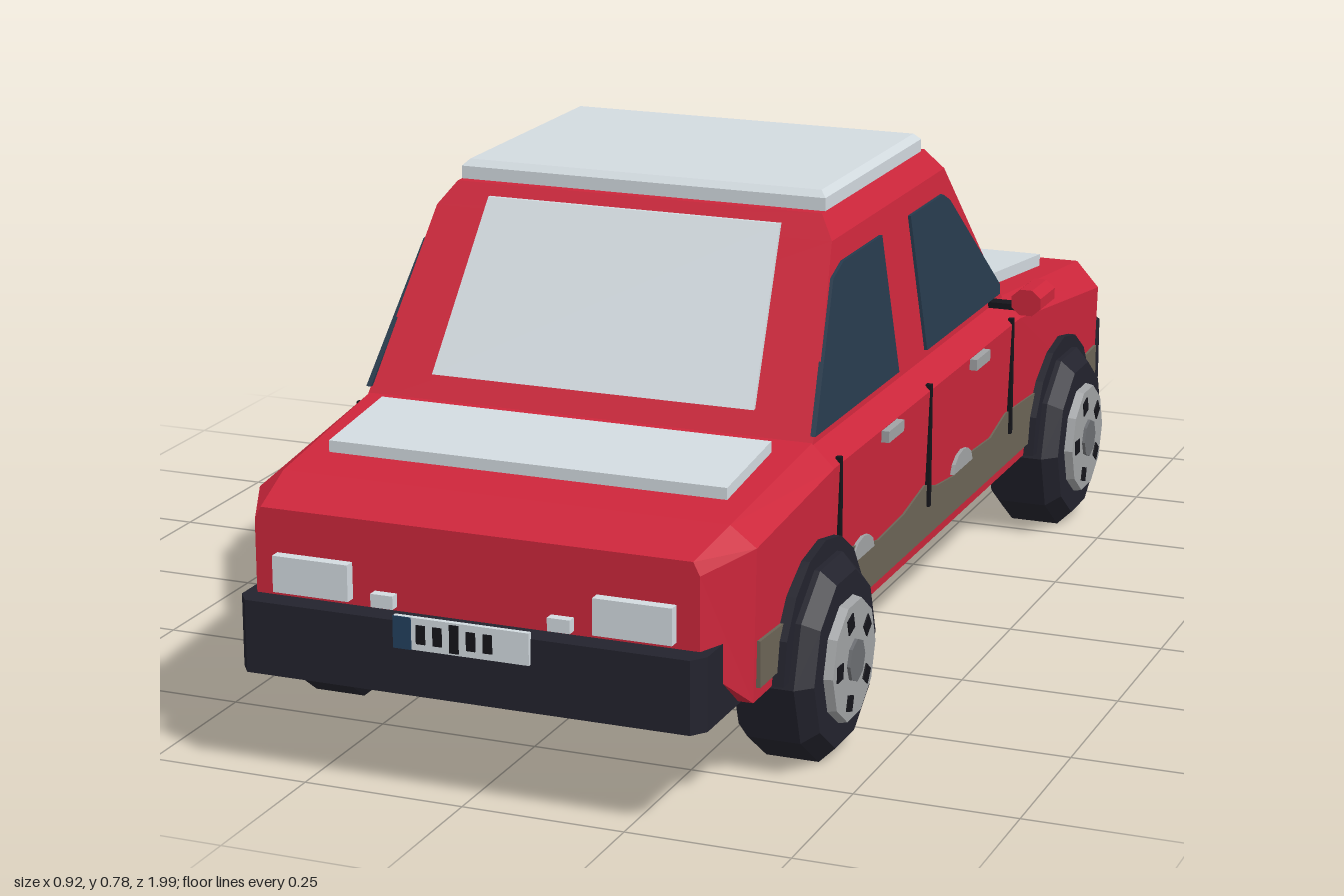
import * as THREE from 'three';

const paint = (color) => new THREE.MeshStandardMaterial({ color });
const M = {
  red: paint(0xcc263b), snow: paint(0xd2dadf), dark: paint(0x23232d), black: paint(0x15151b),
  glass: paint(0x263a4c), mud: paint(0x6b6456), grey: paint(0xa0a2a4), iron: paint(0x6c6e72), blue: paint(0x23405e),
};
for (const [key, name] of Object.entries({
  red: 'red paint', snow: 'snow white', dark: 'dark rubber', black: 'black trim', glass: 'dark glass',
  mud: 'dried mud', grey: 'light grey metal', iron: 'dark grey metal', blue: 'blue strip',
})) M[key].name = name;

// faceted normals for every part
function flat(geo) {
  const g = geo.index ? geo.toNonIndexed() : geo;
  g.computeVertexNormals();
  return g;
}

// moves every vertex by a rule
function bend(geo, rule) {
  const p = geo.attributes.position, v = new THREE.Vector3();
  for (let i = 0; i < p.count; i++) {
    v.fromBufferAttribute(p, i);
    rule(v);
    p.setXYZ(i, v.x, v.y, v.z);
  }
  return geo;
}

// mirrored copy across x = 0 with the corner order reversed
function mirrored(geo) {
  const g = flat(geo.clone()), p = g.attributes.position, a = p.array;
  for (let i = 0; i < a.length; i += 9) {
    for (let k = 0; k < 3; k++) [a[i + 3 + k], a[i + 6 + k]] = [a[i + 6 + k], a[i + 3 + k]];
    for (let k = 0; k < 9; k += 3) a[i + k] *= -1;
  }
  g.computeVertexNormals();
  return g;
}

// skin over closed cross-sections, capped at both ends
function loft(rings) {
  const n = rings[0].length, index = [], last = (rings.length - 1) * n;
  for (let r = 0; r < rings.length - 1; r++) {
    for (let j = 0; j < n; j++) {
      const a = r * n + j, b = r * n + (j + 1) % n, c = a + n, d = b + n;
      index.push(a, c, b, b, c, d);
    }
  }
  for (let j = 1; j < n - 1; j++) index.push(0, j, j + 1, last, last + j + 1, last + j);
  const g = new THREE.BufferGeometry();
  g.setAttribute('position', new THREE.Float32BufferAttribute(rings.flat(2), 3));
  g.setIndex(index);
  return g;
}

const extrude = (points, depth) => new THREE.ExtrudeGeometry(
  new THREE.Shape(points.map(([x, y]) => new THREE.Vector2(x, y))), { depth, bevelEnabled: false });
const box = (w, h, d, x, y, z) => new THREE.BoxGeometry(w, h, d).translate(x, y, z);
// plate on the +x side from [z, y] points
const sidePlate = (points, x, depth) =>
  extrude(points.map(([z, y]) => [-z, y]), depth).rotateY(Math.PI / 2).translate(x, 0, 0);
const arc = (cz, cy, rz, ry, n) => Array.from({ length: n + 1 }, (_, i) =>
  [cz + rz * Math.cos(Math.PI * i / n), cy + ry * Math.sin(Math.PI * i / n)]);

export function createModel() {
  const car = new THREE.Group();
  car.name = 'car';
  const add = (name, geo, mat, parent = car) => {
    const mesh = new THREE.Mesh(flat(geo), mat);
    mesh.name = name;
    parent.add(mesh);
    return mesh;
  };
  const pair = (name, geo, mat) => {
    add(name + 'Left', geo, mat);
    add(name + 'Right', mirrored(geo), mat);
  };

  // lower body: z, bottom, shoulder and top (half width, height)
  const sections = [
    [0.95, 0.345, 0.24, 0.345, 0.375, 0.335, 0.395],
    [0.85, 0.385, 0.16, 0.39, 0.39, 0.35, 0.42],
    [0.55, 0.385, 0.16, 0.395, 0.42, 0.36, 0.455],
    [-0.36, 0.385, 0.16, 0.395, 0.42, 0.36, 0.455],
    [-0.85, 0.385, 0.16, 0.39, 0.355, 0.35, 0.40],
    [-0.945, 0.345, 0.24, 0.345, 0.335, 0.335, 0.35],
  ];
  add('body', loft(sections.map(([z, bw, by, sw, sy, tw, ty]) =>
    [[bw, by, z], [sw, sy, z], [tw, ty, z], [-tw, ty, z], [-sw, sy, z], [-bw, by, z]])), M.red);

  // cabin: height, half width, z of both ends
  const cabin = [[0.75, 0.30, 0.35, -0.126], [0.715, 0.325, 0.374, -0.154], [0.44, 0.364, 0.56, -0.372]];
  add('cabin', loft(cabin.map(([y, w, f, b]) => [[w, y, f], [w, y, b], [-w, y, b], [-w, y, f]])), M.red);

  // side windows leaning with the cabin
  const lean = (v) => { v.x += 0.362 - (v.y - 0.455) * 0.142; };
  const panes = {
    trunkSideWindow: [[0.55, 0.465], [0.40, 0.665], [0.35, 0.68], [0.175, 0.68], [0.175, 0.465]],
    hoodSideWindow: [[0.04, 0.465], [0.04, 0.68], [-0.12, 0.68], [-0.15, 0.665], [-0.345, 0.48], [-0.34, 0.465]],
  };
  for (const [name, pts] of Object.entries(panes)) pair(name, bend(sidePlate(pts, -0.003, 0.008), lean), M.glass);

  // snowed-over end windows
  const pane = [[-0.262, 0.49], [0.262, 0.49], [0.24, 0.733], [-0.24, 0.733]];
  add('trunkEndWindow', bend(extrude(pane, 0.008), (v) => { v.z += 0.549 - (v.y - 0.455) * 0.678; }), M.snow);
  add('windshield', bend(extrude(pane, 0.008), (v) => { v.z -= 0.367 - (v.y - 0.455) * 0.793; }), M.snow);

  // snow slabs on roof, hood and trunk
  add('roofSnow', loft([[0.78, 0.29, 0.325, -0.10], [0.77, 0.30, 0.335, -0.11], [0.745, 0.30, 0.335, -0.11]]
    .map(([y, w, f, b]) => [[w, y, f], [w, y, b], [-w, y, b], [-w, y, f]])), M.snow);
  add('trunkSnow', bend(box(0.63, 0.03, 0.175, 0, 0, 0.685),
    (v) => { v.y += 0.457 - (v.z - 0.55) * 0.113; }), M.snow);
  add('hoodSnow', bend(box(0.62, 0.03, 0.345, 0, 0, -0.5775),
    (v) => { v.y += 0.46 + (v.z + 0.36) * 0.11; }), M.snow);

  // mud along the sills, scraped patches, door gaps and handles
  pair('sillMud', sidePlate([[0.84, 0.18], [-0.84, 0.18], [-0.84, 0.25], [-0.72, 0.245], [-0.40, 0.265],
    [-0.30, 0.27], [-0.22, 0.25], [-0.12, 0.255], [-0.03, 0.24], [0.06, 0.25], [0.12, 0.268], [0.22, 0.25],
    [0.34, 0.245], [0.45, 0.27], [0.72, 0.245], [0.84, 0.25]], 0.384, 0.008), M.mud);
  for (const z of [0.415, -0.065]) pair('scrape', sidePlate(arc(z, 0.245, 0.048, 0.03, 6), 0.387, 0.008), M.grey);
  for (const [z, low] of [[0.52, 0.30], [0.107, 0.23], [-0.32, 0.23]])
    pair('doorGap', box(0.009, 0.43 - low, 0.009, 0.392, (0.43 + low) / 2, z), M.black);
  for (const z of [0.305, -0.125]) pair('doorHandle', box(0.02, 0.018, 0.07, 0.397, 0.41, z), M.grey);

  // door mirrors
  pair('mirrorArm', box(0.07, 0.01, 0.025, 0.375, 0.458, -0.30), M.black);
  pair('mirror', new THREE.CylinderGeometry(0.026, 0.026, 0.08, 8).rotateY(Math.PI / 8)
    .rotateX(Math.PI / 2).scale(1.04, 0.9, 1).translate(0.435, 0.475, -0.30), M.red);

  // wheels with rims, bolt holes and dark arches
  for (const z of [0.605, -0.6]) {
    pair('wheelArch', sidePlate([...arc(z, 0.16, 0.172, 0.168, 8)], 0.36, 0.043), M.dark);
    const lathe = [[0, 0.31], [0.135, 0.31], [0.155, 0.33], [0.155, 0.412], [0.132, 0.435], [0, 0.435]]
      .map(([r, x]) => new THREE.Vector2(r, x));
    const turn = (g, x) => g.rotateZ(-Math.PI / 2).translate(x, 0.15, z);
    pair('tyre', turn(new THREE.LatheGeometry(lathe, 10), 0), M.dark);
    pair('rim', turn(new THREE.CylinderGeometry(0.092, 0.098, 0.03, 10), 0.434), M.grey);
    pair('hubCap', turn(new THREE.CylinderGeometry(0.033, 0.033, 0.008, 8), 0.45), M.iron);
    for (let i = 0; i < 5; i++) {
      const a = i * Math.PI * 0.4 + 0.3;
      pair('rimHole', box(0.006, 0.024, 0.024, 0, 0.064, 0).rotateX(a).translate(0.448, 0.15, z), M.black);
    }
  }

  // bumpers and number plates at both ends
  for (const [end, s] of [['trunk', 1], ['hood', -1]]) {
    const group = new THREE.Group();
    group.name = end + 'Bumper';
    const plan = [[-0.362, -0.84], [-0.362, -0.965], [-0.345, -0.988], [0.345, -0.988], [0.362, -0.965], [0.362, -0.84]];
    add('bumperBar', extrude(plan, 0.11).rotateX(-Math.PI / 2).translate(0, 0.155, 0), M.dark, group);
    add('numberPlate', box(0.21, 0.048, 0.008, 0, 0.251, 0.99), M.snow, group);
    add('plateStrip', box(0.028, 0.048, 0.004, -0.091, 0.251, 0.994), M.blue, group);
    [0.028, 0.028, 0.042, 0.028, 0.028].forEach((h, i) =>
      add('plateMark', box(0.014, h, 0.004, -0.062 + i * 0.026, 0.251, 0.994), M.black, group));
    if (s < 0) group.rotation.y = Math.PI;
    car.add(group);
  }

  // trunk-end lamps
  pair('tailLamp', box(0.12, 0.055, 0.03, 0.25, 0.302, 0.952), M.snow);
  pair('smallLamp', box(0.035, 0.02, 0.03, 0.1375, 0.281, 0.95), M.snow);

  // hood-end lamps and grille
  pair('headLamp', box(0.13, 0.062, 0.03, 0.245, 0.304, -0.948), M.snow);
  pair('cornerLamp', box(0.035, 0.05, 0.03, 0.331, 0.302, -0.94), M.grey);
  add('grille', box(0.34, 0.062, 0.012, 0, 0.304, -0.945), M.black);
  for (const y of [0.285, 0.304, 0.323]) add('grilleBar', box(0.34, 0.007, 0.012, 0, y, -0.948), M.dark);

  return car;
}
